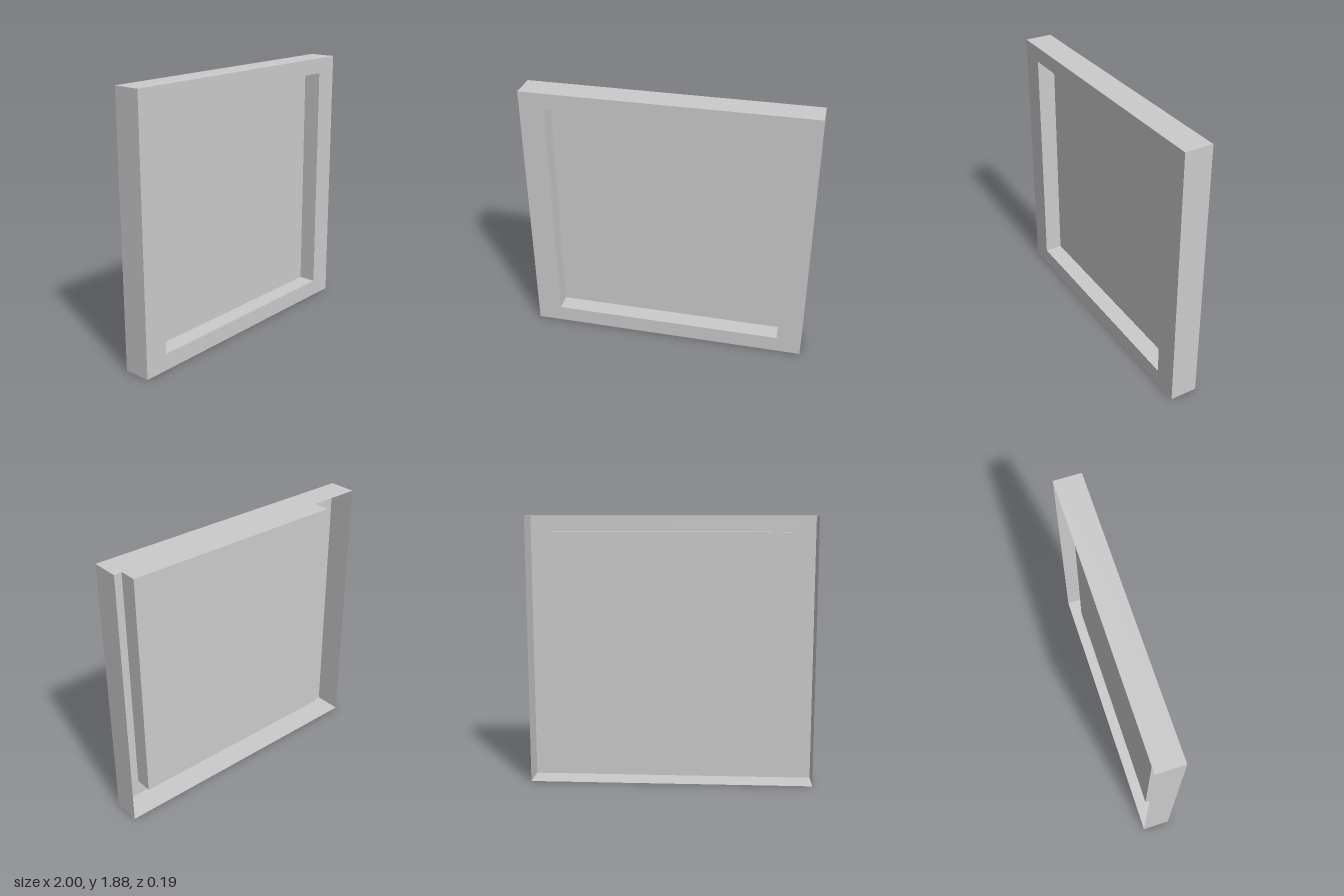
import * as THREE from 'three';

const W = 2, H = 1.88, FRONT = 0.097, BACK = -0.097;
const PANEL_W = 1.652, PANEL_Y0 = 0.118, PANEL_Y1 = 1.77, PANEL_Z = -0.03;

const material = new THREE.MeshStandardMaterial({ color: 0xcccccc, side: THREE.DoubleSide });

function addMesh(parent, name, geometry, x, y, z) {
  const mesh = new THREE.Mesh(geometry, material);
  mesh.name = name;
  mesh.position.set(x, y, z);
  parent.add(mesh);
  return mesh;
}

// Four thin walls around a rectangle, running from z0 to z1
function wallRing(name, width, y0, y1, z0, z1, facing) {
  const ring = new THREE.Group();
  ring.name = name;
  const depth = z1 - z0, z = (z0 + z1) / 2, height = y1 - y0;
  for (const s of [-1, 1]) {
    const side = addMesh(ring, s > 0 ? 'leftWall' : 'rightWall',
      new THREE.PlaneGeometry(depth, height), s * width / 2, (y0 + y1) / 2, z);
    side.rotation.y = facing * s * Math.PI / 2;
    const level = addMesh(ring, s > 0 ? 'topWall' : 'bottomWall',
      new THREE.PlaneGeometry(width, depth), 0, s > 0 ? y1 : y0, z);
    level.rotation.x = -facing * s * Math.PI / 2;
  }
  return ring;
}

function rectangle(path, width, y0, y1) {
  const h = width / 2;
  path.moveTo(-h, y0);
  path.lineTo(h, y0);
  path.lineTo(h, y1);
  path.lineTo(-h, y1);
  path.closePath();
  return path;
}

export function createModel() {
  const model = new THREE.Group();
  model.name = 'recessedPanel';

  // Flat front border around the recess
  const border = rectangle(new THREE.Shape(), W, 0, H);
  border.holes.push(rectangle(new THREE.Path(), PANEL_W, PANEL_Y0, PANEL_Y1));
  addMesh(model, 'frontBorder', new THREE.ShapeGeometry(border), 0, 0, FRONT);

  // Outer rim, open at the back, and the inner walls of the recess
  model.add(wallRing('outerRim', W, 0, H, BACK, FRONT, 1));
  model.add(wallRing('recessWalls', PANEL_W, PANEL_Y0, PANEL_Y1, PANEL_Z, FRONT, -1));

  // Sunken centre panel
  addMesh(model, 'centrePanel', new THREE.PlaneGeometry(PANEL_W, PANEL_Y1 - PANEL_Y0),
    0, (PANEL_Y0 + PANEL_Y1) / 2, PANEL_Z);

  return model;
}
